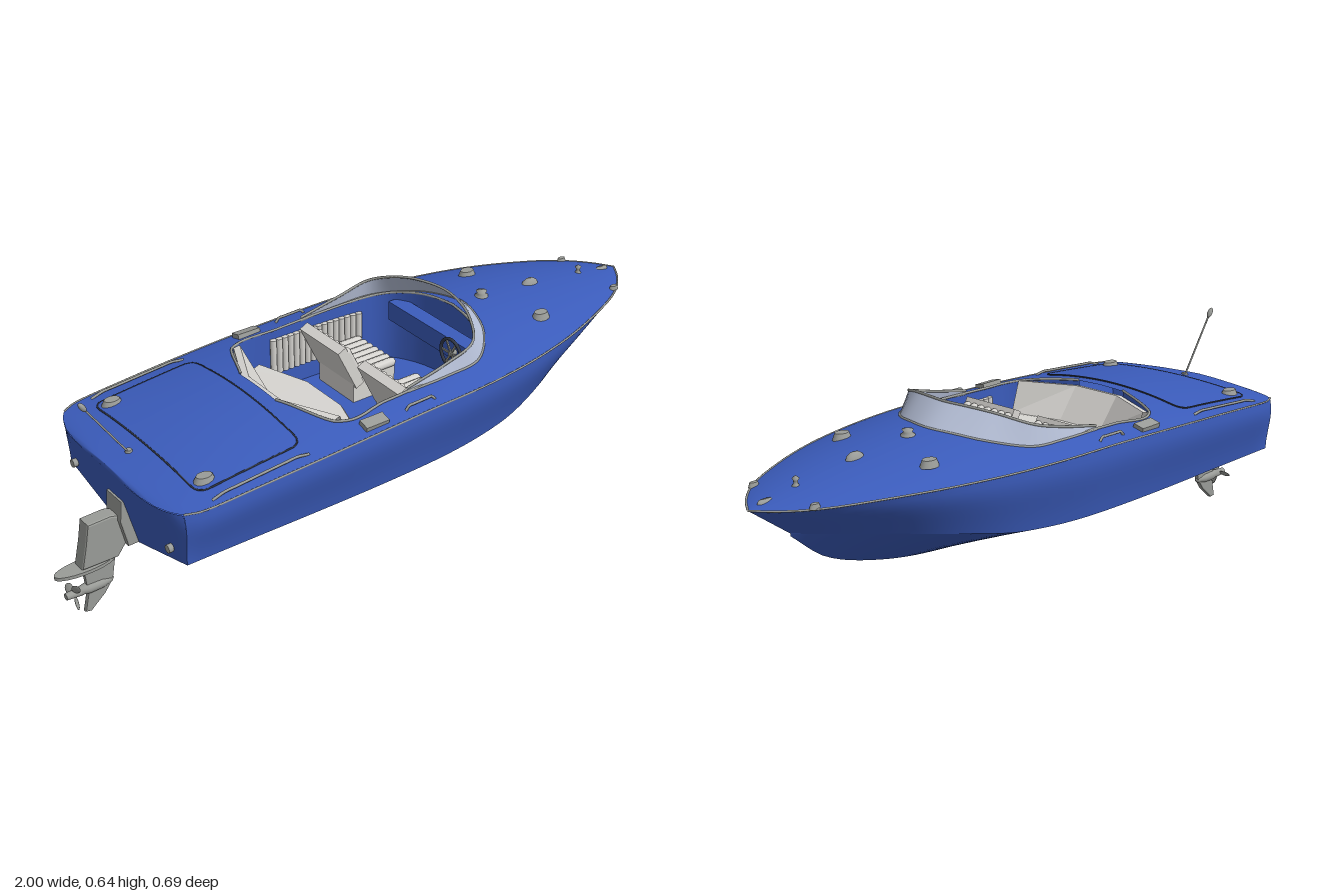
import * as THREE from 'three';

const mat = (name, color, side = THREE.FrontSide) => {
  const m = new THREE.MeshStandardMaterial({ color, side });
  m.name = name;
  return m;
};
const V = (x, y, z) => new THREE.Vector3(x, y, z);

// smooth interpolation through a short table of [x, value]
const curve = (t) => (x) => {
  const n = t.length;
  if (x <= t[0][0]) return t[0][1];
  if (x >= t[n - 1][0]) return t[n - 1][1];
  const i = t.findIndex((p) => p[0] > x) - 1;
  const slope = (k) => {
    const a = t[Math.max(k - 1, 0)], b = t[Math.min(k + 1, n - 1)];
    return (b[1] - a[1]) / (b[0] - a[0]);
  };
  const h = t[i + 1][0] - t[i][0], s = (x - t[i][0]) / h, s2 = s * s, s3 = s2 * s;
  return (2 * s3 - 3 * s2 + 1) * t[i][1] + (s3 - 2 * s2 + s) * h * slope(i)
    + (3 * s2 - 2 * s3) * t[i + 1][1] + (s3 - s2) * h * slope(i + 1);
};

// hull lines
const STERN = -0.823, CORNER = -0.775;
const beam = curve([[CORNER, 0.31], [-0.73, 0.329], [-0.6, 0.336], [-0.3, 0.342], [0, 0.339], [0.2, 0.334],
  [0.4, 0.308], [0.6, 0.257], [0.8, 0.175], [0.9, 0.115], [0.97, 0.045], [1, 0]]);
const halfBeam = (x) => (x < CORNER ? 0.31 * Math.pow(Math.max(0, (x - STERN) / (CORNER - STERN)), 0.2) : beam(x));
const sheerY = curve([[-0.823, 0.428], [-0.4, 0.456], [0, 0.474], [0.4, 0.479], [0.7, 0.478], [1, 0.468]]);
const crown = curve([[-0.823, 0.012], [-0.6, 0.033], [-0.36, 0.045], [0, 0.05], [0.35, 0.06], [0.68, 0.037], [0.9, 0.015], [1, 0]]);
const chineZ = curve([[-0.77, 0.305], [0, 0.304], [0.3, 0.28], [0.5, 0.225], [0.7, 0.125], [0.8, 0.06], [0.87, 0]]);
const chineY = curve([[-0.77, 0.27], [0, 0.272], [0.3, 0.29], [0.5, 0.325], [0.7, 0.356], [0.87, 0.372]]);
const keelY = curve([[-0.76, 0.174], [0.2, 0.174], [0.4, 0.182], [0.6, 0.22], [0.76, 0.278], [0.87, 0.365]]);
const opening = curve([[-0.34, 0.085], [-0.26, 0.25], [-0.1, 0.255], [0.1, 0.25], [0.22, 0.235], [0.28, 0.2], [0.32, 0.13], [0.338, 0.06], [0.345, 0]]);
const deckY = (x, z) => {
  const w = halfBeam(x);
  return sheerY(x) + (w > 0.001 ? crown(x) * (1 - Math.min(1, (z / w) ** 2)) : 0);
};

export function createModel() {
  const boat = new THREE.Group();
  boat.name = 'motorboat';
  const D = THREE.DoubleSide;
  const blue = mat('blue paint', 0x3b5cbc, D), metal = mat('grey metal', 0x9a9c98);
  const seat = mat('pale upholstery', 0xd8d6d2, D), glass = mat('windscreen glass', 0xb8c2da, D), dark = mat('dark trim', 0x343a48);

  const add = (name, geo, m, x = 0, y = 0, z = 0, parent = boat) => {
    const mesh = new THREE.Mesh(geo, m);
    mesh.name = name;
    mesh.position.set(x, y, z);
    parent.add(mesh);
    return mesh;
  };
  // surface through rows of points
  const grid = (name, rows, m, flat = false) => {
    const n = rows[0].length, idx = [];
    for (let i = 0; i < rows.length - 1; i++) for (let j = 0; j < n - 1; j++) {
      const a = i * n + j, b = a + n;
      idx.push(a, b, a + 1, b, b + 1, a + 1);
    }
    let g = new THREE.BufferGeometry().setFromPoints(rows.flat());
    g.setIndex(idx);
    if (flat) g = g.toNonIndexed();
    g.computeVertexNormals();
    return add(name, g, m);
  };
  const tube = (name, pts, r, m, closed = false, seg = 80) =>
    add(name, new THREE.TubeGeometry(new THREE.CatmullRomCurve3(pts, closed), seg, r, 6, closed), m);
  const plate = (name, pts, depth, m, bevel = 0) => {
    const shape = new THREE.Shape(pts.map((p) => new THREE.Vector2(...p)));
    const g = new THREE.ExtrudeGeometry(shape, { depth, bevelEnabled: bevel > 0, bevelSize: bevel, bevelThickness: bevel, bevelSegments: 2 });
    return add(name, g.translate(0, 0, -depth / 2), m);
  };
  const range = (n, f) => Array.from({ length: n + 1 }, (_, i) => f(i / n));

  // hull bottom, sides, transom and deck, one half at a time
  const xs = range(48, (t) => CORNER + (1 - CORNER) * t);
  const stations = [
    ...[0, 0.3, 0.55, 0.75, 0.88, 0.95, 1].map((a) => [STERN + (CORNER - STERN) * a ** 5, 0]),
    ...range(12, (t) => [-0.76 + 0.42 * t, 0]),
    ...range(6, (t) => [-0.34 + 0.08 * t, opening(-0.34 + 0.08 * t)]),
    ...range(12, (t) => [-0.22 + 0.44 * t, opening(-0.22 + 0.44 * t)]),
    ...range(14, (t) => [0.23 + 0.115 * t, opening(0.23 + 0.115 * t)]),
    ...range(24, (t) => [0.36 + 0.64 * t, 0]),
  ];
  for (const s of [1, -1]) {
    const lines = xs.map((x) => {
      const t = (x - CORNER) / (1 - CORNER), cx = -0.77 + 1.64 * t, kx = -0.76 + 1.63 * t;
      return { keel: V(kx, keelY(kx), 0), chine: V(cx, chineY(cx), s * chineZ(cx)), sheer: V(x, sheerY(x), s * halfBeam(x)) };
    });
    grid('hullBottom', lines.map((l) => range(4, (t) => l.keel.clone().lerp(l.chine, t))), blue);
    grid('hullSide', lines.map((l) => range(8, (t) => {
      const p = l.chine.clone().lerp(l.sheer, t);
      p.z += 0.028 * l.sheer.z * Math.sin(Math.PI * t * t);
      return p;
    })), blue);
    grid('transom', range(16, (a) => {
      const k = lines[0], low = k.keel.clone().lerp(k.chine, a);
      const top = V(STERN + (CORNER - STERN) * a ** 5, sheerY(STERN), s * 0.31 * a);
      return range(6, (t) => {
        const p = low.clone().lerp(top, t);
        p.z += a ** 6 * 0.028 * s * 0.31 * Math.sin(Math.PI * t * t);
        return p;
      });
    }), blue);
    grid('deck', stations.map(([x, c]) => range(12, (t) => {
      const z = c + (halfBeam(x) - c) * t;
      return V(x, deckY(x, z), s * z);
    })), blue);
    // cockpit lining and edge trim
    const rim = stations.filter(([x, c]) => x > -0.341 && x < 0.346 && (c > 0 || x > 0));
    grid('cockpitLining', rim.map(([x, c]) => [V(x, deckY(x, c), s * c), V(x, 0.29, s * c)]), blue);
    grid('cockpitFloor', rim.map(([x, c]) => [V(x, 0.295, 0), V(x, 0.295, s * c)]), blue);
    tube('cockpitTrim', rim.map(([x, c]) => V(x, deckY(x, c) + 0.002, s * c)), 0.004, metal);
    // rub rail
    tube('rubRail', xs.map((x) => V(x, sheerY(x), s * halfBeam(x))), 0.003, metal, false, 100);
    // pleated side panels
    for (let i = 0; i < 16; i++) {
      const x = -0.12 + i * 0.02;
      add('sidePleat', new THREE.CylinderGeometry(0.01, 0.01, 0.11, 8), seat, x, 0.41, s * (opening(x) - 0.006));
    }
    // paired deck fittings
    const fitting = (name, x, z, l, h, w) => {
      const m = add(name, new THREE.CylinderGeometry(0.36, 0.5, 1, 12), metal, x, deckY(x, z) + h * 0.35, s * z);
      m.scale.set(l, h, w);
      return m;
    };
    fitting('sternCleat', -0.665, 0.235, 0.065, 0.018, 0.045);
    fitting('foredeckVent', 0.54, 0.168, 0.06, 0.02, 0.045);
    fitting('bowChock', 0.885, 0.118, 0.035, 0.014, 0.02);
    add('sidePad', new THREE.BoxGeometry(0.075, 0.014, 0.035), metal, -0.175, deckY(-0.175, 0.308) + 0.006, s * 0.308).rotation.x = s * 0.25;
    const handrail = (x0, x1, h) => tube('handRail', range(8, (t) => {
      const x = x0 + (x1 - x0) * t;
      return V(x, deckY(x, 0.31) + (t > 0 && t < 1 ? h : 0), s * 0.31);
    }), 0.004, metal, false, 30);
    handrail(-0.69, -0.39, 0.008);
    handrail(-0.07, 0.03, 0.012);
    add('transomDrain', new THREE.CylinderGeometry(0.012, 0.012, 0.014, 12), metal, -0.788, 0.3, s * 0.25).rotation.z = Math.PI / 2;
  }

  // engine hatch and its seam
  const hx0 = -0.705, hx1 = -0.385, hz = 0.27, r = 0.03;
  const hatchHalf = (x) => {
    const d = Math.max(0, r - Math.min(x - hx0, hx1 - x));
    return hz - r + Math.sqrt(Math.max(0, r * r - d * d));
  };
  const hxs = [0, 0.003, 0.01, 0.02, 0.03, 0.1, 0.16, 0.22, 0.29, 0.3, 0.31, 0.317, 0.32].map((d) => hx0 + d);
  const onDeck = (x, z, h) => V(x, deckY(x, z) + h, z);
  grid('engineHatch', hxs.map((x) => range(16, (t) => onDeck(x, hatchHalf(x) * (2 * t - 1), 0.003))), blue);
  const edge = (z) => range(8, (t) => onDeck(z.x, (2 * t - 1) * (hz - r) * z.s, 0.002));
  tube('hatchSeam', [
    ...hxs.map((x) => onDeck(x, hatchHalf(x), 0.002)), ...edge({ x: hx1, s: -1 }).slice(1, -1),
    ...hxs.slice().reverse().map((x) => onDeck(x, -hatchHalf(x), 0.002)), ...edge({ x: hx0, s: 1 }).slice(1, -1),
  ], 0.0025, dark, true, 160);

  // wraparound windscreen with top frame
  const mirrored = (pts) => [...pts, ...pts.slice(0, -1).reverse().map((p) => V(p.x, p.y, -p.z))];
  const base = [[-0.02, 0.255], [0.12, 0.258], [0.235, 0.247], [0.325, 0.165], [0.365, 0.08], [0.382, 0]]
    .map(([x, z]) => V(x, deckY(x, z), z));
  const top = [V(-0.02, 0.506, 0.252), V(0.12, 0.535, 0.25), V(0.22, 0.562, 0.238), V(0.277, 0.588, 0.155), V(0.303, 0.597, 0.078), V(0.315, 0.599, 0)];
  const low = new THREE.CatmullRomCurve3(mirrored(base)), high = new THREE.CatmullRomCurve3(mirrored(top));
  grid('windscreen', range(60, (t) => [low.getPoint(t), high.getPoint(t)]), glass);
  tube('windscreenFrame', high.getPoints(40), 0.004, metal);
  tube('windscreenBase', low.getPoints(40), 0.004, metal);

  // angled rear bench: backrest top, backrest foot, cushion front
  const bench = [[-0.26, -0.205, -0.165, 0.245], [-0.338, -0.245, -0.11, 0.08]];
  const benchRow = ([o, i, f, z]) => [V(o, 0.3, z), V(o, 0.488, z), V(o + 0.02, 0.492, z * 0.99), V(i, 0.4, z * 0.97),
    V(f - 0.01, 0.405, z), V(f, 0.39, z), V(f, 0.295, z)];
  const flip = ([o, i, f, z]) => [o, i, f, -z];
  grid('rearBench', [bench[0], bench[1], flip(bench[1]), flip(bench[0])].map(benchRow), seat, true);

  // pleated front seats
  for (const s of [1, -1]) {
    const chair = new THREE.Group();
    chair.name = 'frontSeat';
    chair.position.set(0, 0, s * 0.14);
    boat.add(chair);
    add('seatBase', new THREE.BoxGeometry(0.15, 0.09, 0.17), seat, 0.1, 0.335, 0, chair);
    add('seatBack', new THREE.BoxGeometry(0.03, 0.15, 0.19), seat, 0.01, 0.42, 0, chair).rotation.z = 0.45;
    for (let i = 0; i < 7; i++) {
      const z = -0.081 + i * 0.027;
      const pleat = new THREE.CapsuleGeometry(0.014, 0.1, 3, 8);
      add('cushionPleat', pleat, seat, 0.115, 0.383, z, chair).rotation.z = Math.PI / 2;
      add('backPleat', pleat, seat, 0.025, 0.425, z, chair).rotation.z = 0.45;
    }
  }

  // dashboard and steering wheel
  add('dashboard', new THREE.BoxGeometry(0.05, 0.06, 0.39), blue, 0.285, 0.465, 0);
  const helm = new THREE.Group();
  helm.name = 'steeringWheel';
  helm.position.set(0.243, 0.465, 0.12);
  helm.rotation.set(0, Math.PI / 2, 0);
  boat.add(helm);
  add('wheelRim', new THREE.TorusGeometry(0.045, 0.005, 8, 28), dark, 0, 0, 0, helm);
  for (let i = 0; i < 3; i++) add('wheelSpoke', new THREE.BoxGeometry(0.09, 0.006, 0.004), metal, 0, 0, 0, helm).rotation.z = i * Math.PI / 3;
  add('wheelColumn', new THREE.CylinderGeometry(0.008, 0.008, 0.04, 10), metal, 0, 0, 0.015, helm).rotation.x = Math.PI / 2;

  // centreline fittings
  const turned = (name, pts, x) => add(name, new THREE.LatheGeometry(pts.map((p) => new THREE.Vector2(...p)), 16), metal, x, deckY(x, 0) - 0.003, 0);
  turned('deckLight', [[0.02, 0], [0.02, 0.006], [0.012, 0.012], [0.016, 0.02], [0, 0.025]], 0.455);
  turned('foredeckCleat', [[0.03, 0], [0.026, 0.01], [0.014, 0.018], [0, 0.02]], 0.645).scale.z = 0.55;
  turned('bowLight', [[0.012, 0], [0.006, 0.008], [0.006, 0.015], [0.01, 0.022], [0, 0.03]], 0.845);
  turned('bowPlate', [[0.025, 0], [0.02, 0.008], [0, 0.009]], 0.945).scale.z = 0.4;

  // stern light on a raked pole
  const foot = V(-0.75, 0.448, 0), tip = V(-0.872, 0.63, 0);
  tube('sternPole', [foot, foot.clone().lerp(tip, 0.5), tip], 0.003, metal, false, 4);
  add('sternPoleFoot', new THREE.CylinderGeometry(0.009, 0.014, 0.02, 12), metal, foot.x, foot.y, 0);
  const bulb = add('sternLight', new THREE.SphereGeometry(0.009, 12, 8), metal, tip.x, tip.y, 0);
  bulb.scale.set(0.9, 1.9, 0.9);
  bulb.rotation.z = 0.59;

  // stern drive
  plate('driveBracket', [[-0.772, 0.33], [-0.802, 0.33], [-0.808, 0.27], [-0.79, 0.19], [-0.762, 0.19]], 0.07, metal, 0.004);
  plate('driveHousing', [[-0.785, 0.27], [-0.83, 0.285], [-0.895, 0.283], [-0.905, 0.225], [-0.92, 0.16], [-0.82, 0.16], [-0.79, 0.2]], 0.036, metal, 0.006);
  plate('driveLeg', [[-0.915, 0.16], [-0.82, 0.16], [-0.835, 0.08], [-0.86, 0.045], [-0.905, 0.006], [-0.917, 0.008], [-0.905, 0.06]], 0.008, metal, 0.004);
  const vent = add('cavitationPlate', new THREE.CylinderGeometry(1, 1, 1, 24), metal, -0.909, 0.148, 0);
  vent.scale.set(0.091, 0.01, 0.03);
  const gear = new THREE.LatheGeometry([[0, -0.055], [0.011, -0.05], [0.017, -0.02], [0.016, 0.02], [0.009, 0.05], [0, 0.06]].map((p) => new THREE.Vector2(...p)), 16);
  add('gearCase', gear, metal, -0.885, 0.077, 0).rotation.z = -Math.PI / 2;
  const prop = new THREE.Group();
  prop.name = 'propeller';
  prop.position.set(-0.948, 0.075, 0);
  boat.add(prop);
  add('propellerHub', new THREE.CylinderGeometry(0.01, 0.013, 0.05, 14), metal, 0, 0, 0, prop).rotation.z = Math.PI / 2;
  for (let i = 0; i < 3; i++) {
    const arm = new THREE.Group();
    arm.name = 'propellerArm';
    arm.rotation.x = Math.PI / 2 + 0.05 + (i * Math.PI * 2) / 3 + Math.PI;
    prop.add(arm);
    const blade = add('propellerBlade', new THREE.SphereGeometry(1, 12, 8), metal, 0, 0.027, 0, arm);
    blade.scale.set(0.003, 0.02, 0.013);
    blade.rotation.y = 0.7;
  }
  return boat;
}
